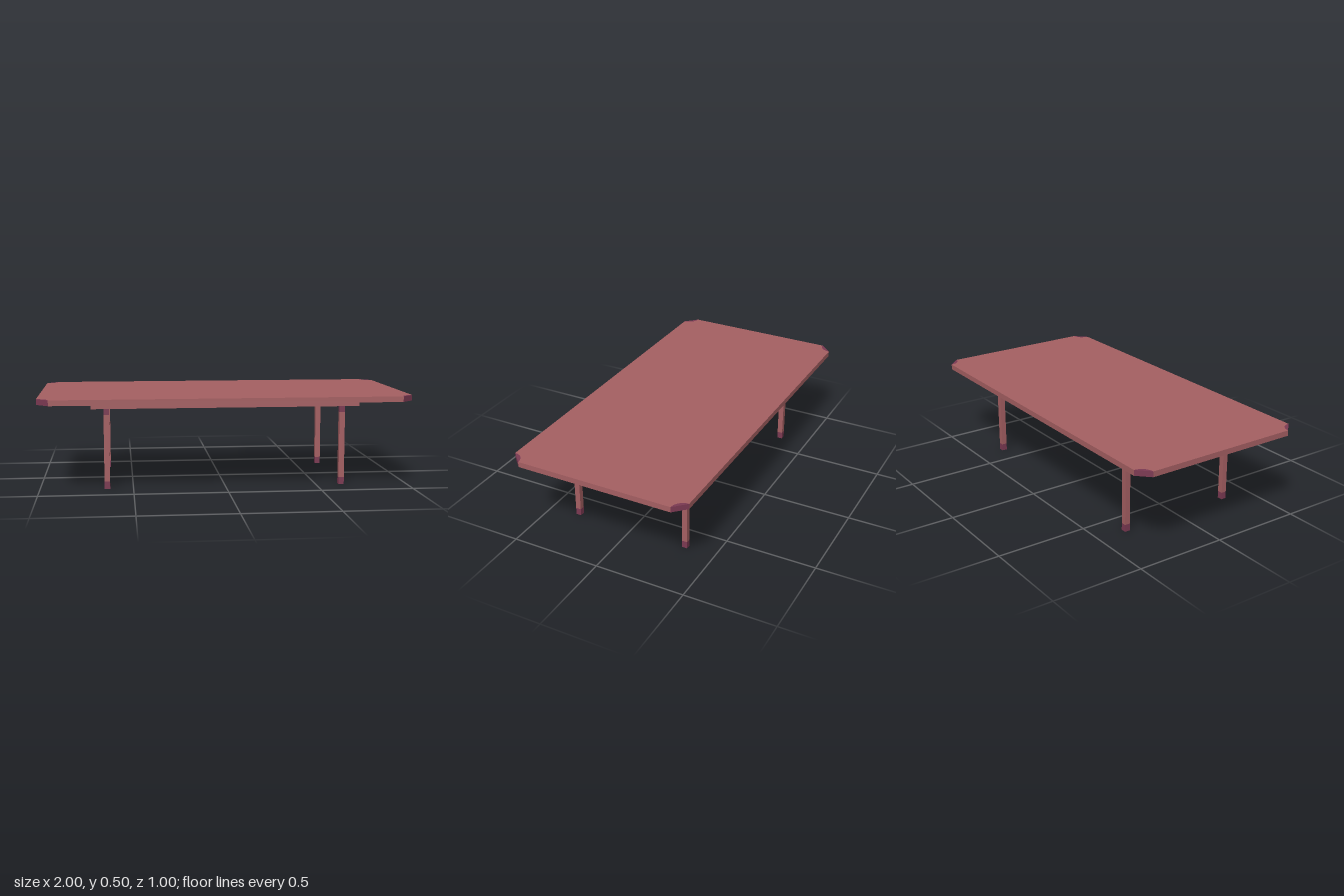
import * as THREE from 'three';

export function createModel() {
  const wood = new THREE.MeshStandardMaterial({ color: 0xa66063 });
  wood.name = 'redWood';
  const trim = new THREE.MeshStandardMaterial({ color: 0x7d3a53 });
  trim.name = 'darkTrim';

  const table = new THREE.Group();
  table.name = 'table';

  const add = (parent, name, geometry, material, x = 0, y = 0, z = 0) => {
    const mesh = new THREE.Mesh(geometry, material);
    mesh.name = name;
    mesh.position.set(x, y, z);
    parent.add(mesh);
  };

  // Horizontal slab from a plan outline
  const slab = (shape) =>
    new THREE.ExtrudeGeometry(shape, { depth: 0.03, bevelEnabled: false, curveSegments: 4 }).rotateX(-Math.PI / 2);

  // Tabletop with rounded notches, each filled by a dark corner piece
  const r = 0.065;
  const top = new THREE.Shape();
  [[1, -0.5], [1, 0.5], [-1, 0.5], [-1, -0.5]].forEach(([x, y], i) => {
    const start = Math.PI * (1 + i / 2);
    const end = start - Math.PI / 2;
    if (i === 0) top.moveTo(x - r, y);
    top.absarc(x, y, r, start, end, true);
    const corner = new THREE.Shape();
    corner.moveTo(x, y);
    corner.absarc(x, y, r, end, start, false);
    add(table, 'cornerCap', slab(corner), trim, 0, 0.47, 0);
  });
  add(table, 'tabletop', slab(top), wood, 0, 0.47, 0);

  // Support panel under the top
  add(table, 'underPanel', new THREE.BoxGeometry(1.44, 0.03, 0.81), wood, 0, 0.455, 0);

  // Square legs with dark ends
  for (const x of [-0.64, 0.64]) {
    for (const z of [-0.328, 0.328]) {
      const leg = new THREE.Group();
      leg.name = 'leg';
      leg.position.set(x, 0, z);
      add(leg, 'foot', new THREE.BoxGeometry(0.03, 0.04, 0.03), trim, 0, 0.02, 0);
      add(leg, 'legShaft', new THREE.BoxGeometry(0.03, 0.36, 0.03), wood, 0, 0.22, 0);
      add(leg, 'legCollar', new THREE.BoxGeometry(0.03, 0.04, 0.03), trim, 0, 0.42, 0);
      table.add(leg);
    }
  }
  return table;
}
